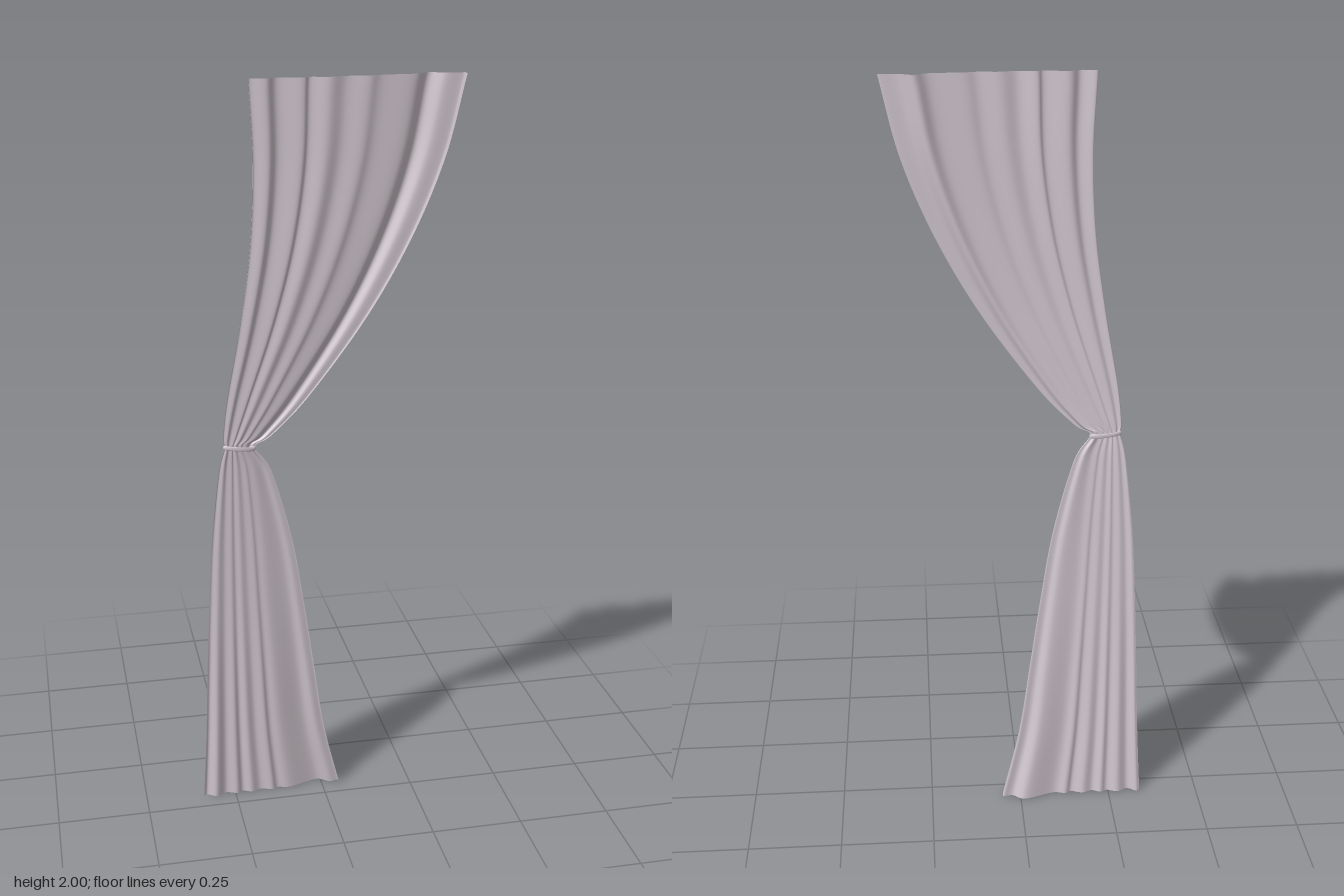
import * as THREE from 'three';

// Outline of the cloth, top to bottom: [y, left x, right x, mean z, fold depth]
const ROWS = [
  [2.0, -0.198, 0.336, 0.05, 1], [1.8, -0.189, 0.288, 0.046, 0.9],
  [1.6, -0.198, 0.207, 0.042, 0.75], [1.4, -0.225, 0.095, 0.035, 0.55],
  [1.2, -0.26, -0.05, 0.024, 0.35], [1.1, -0.27, -0.145, 0.017, 0.25],
  [1.07, -0.267, -0.187, 0.015, 0.2], [1.0, -0.283, -0.145, 0.008, 0.22],
  [0.8, -0.304, -0.09, -0.006, 0.3], [0.6, -0.315, -0.056, -0.019, 0.4],
  [0.4, -0.323, -0.027, -0.031, 0.6], [0.2, -0.33, 0.003, -0.043, 0.8],
  [0.0, -0.34, 0.05, -0.055, 1],
];

// Pleats across the width: [fraction of width, depth offset]
const TOP = [[0, 0.02], [0.01, 0.01], [0.08, 0.018], [0.135, 0.003], [0.245, 0.012], [0.285, 0.003],
  [0.37, 0.013], [0.45, 0.002], [0.55, 0.006], [0.62, -0.003], [0.77, -0.008], [0.84, -0.031],
  [0.91, -0.012], [1, -0.01], [1, 0.008]];
const BOTTOM = [[0, 0.002], [0.03, -0.002], [0.09, 0.011], [0.165, -0.002], [0.24, 0.007], [0.29, -0.001],
  [0.35, 0.008], [0.42, -0.001], [0.5, 0.008], [0.55, 0], [0.64, 0.005], [0.84, -0.019],
  [0.93, 0], [1, -0.003], [1, 0.013]];

const spline = (pts) => new THREE.CatmullRomCurve3(pts.map((p) => new THREE.Vector3(...p)), false, 'catmullrom', 0.5);

function clothGeometry(cols, rows) {
  const leftEdge = spline(ROWS.map(([y, l, , z]) => [l, y, z]));
  const rightEdge = spline(ROWS.map(([y, , r, , d]) => [r, y, d]));
  const top = spline(TOP.map(([f, z]) => [f, z, 0]));
  const bottom = spline(BOTTOM.map(([f, z]) => [f, z, 0]));
  const geo = new THREE.PlaneGeometry(1, 1, cols, rows);
  const pos = geo.attributes.position;
  const a = new THREE.Vector3(), b = new THREE.Vector3(), p = new THREE.Vector3(), q = new THREE.Vector3();
  for (let j = 0; j <= rows; j++) {
    leftEdge.getPoint(j / rows, a);
    rightEdge.getPoint(j / rows, b);
    // top pleats turn into bottom pleats around the waist
    const blend = 1 - THREE.MathUtils.smoothstep(a.y, 0.6, 1.5);
    for (let i = 0; i <= cols; i++) {
      top.getPoint(i / cols, p);
      bottom.getPoint(i / cols, q);
      p.lerp(q, blend);
      const f = THREE.MathUtils.clamp(p.x, 0, 1);
      pos.setXYZ(j * (cols + 1) + i, a.x + f * (b.x - a.x), a.y, a.z + p.y * b.z);
    }
  }
  geo.computeVertexNormals();
  return geo;
}

export function createModel() {
  const group = new THREE.Group();

  // gathered curtain panel
  const cloth = new THREE.Mesh(clothGeometry(112, 96),
    new THREE.MeshStandardMaterial({ color: 0xd2c8d0, side: THREE.DoubleSide }));
  cloth.name = 'curtainPanel';
  group.add(cloth);

  // narrow oval band holding the waist
  const band = new THREE.TorusGeometry(1, 0.13, 10, 48);
  band.rotateX(Math.PI / 2);
  band.scale(0.038, 0.045, 0.01);
  const tie = new THREE.Mesh(band, new THREE.MeshStandardMaterial({ color: 0xd2c8d0 }));
  tie.name = 'tieback';
  tie.position.set(-0.228, 1.07, 0.016);
  tie.rotation.z = -0.1;
  group.add(tie);

  return group;
}
